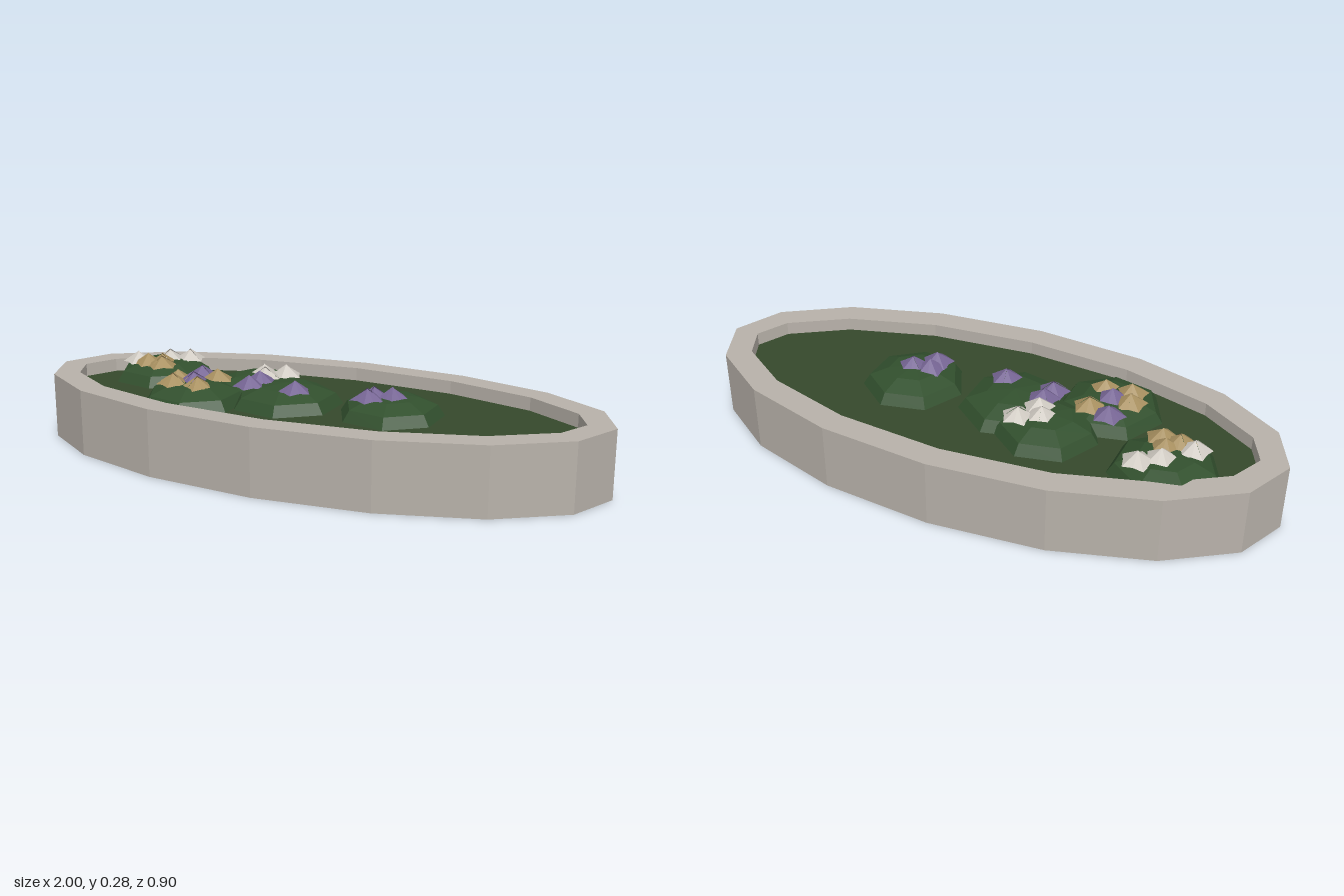
import * as THREE from 'three';

const SIDES = 16, RX = 1, RZ = 0.45, RIM = 0.09, HEIGHT = 0.225, SOIL_Y = 0.18;

function material(name, color, side = THREE.FrontSide) {
  const m = new THREE.MeshStandardMaterial({ color, flatShading: true, side });
  m.name = name;
  return m;
}

// Point on the oval outline, moved inward along its normal
function ovalPoint(i, inset) {
  const a = (i / SIDES) * Math.PI * 2, c = Math.cos(a), s = Math.sin(a);
  const n = new THREE.Vector2(c / RX, s / RZ).normalize();
  return [RX * c - n.x * inset, RZ * s - n.y * inset];
}

// Flat-faced bands joining successive oval loops, each given as [inset, y]
function ovalBands(loops) {
  const pos = [];
  const at = (i, [inset, y]) => {
    const [x, z] = ovalPoint(i, inset);
    return [x, y, z];
  };
  for (let l = 0; l < loops.length - 1; l++) {
    for (let i = 0; i < SIDES; i++) {
      const a = at(i, loops[l]), b = at(i + 1, loops[l]);
      const c = at(i + 1, loops[l + 1]), d = at(i, loops[l + 1]);
      pos.push(...a, ...d, ...c, ...a, ...c, ...b);
    }
  }
  const g = new THREE.BufferGeometry();
  g.setAttribute('position', new THREE.Float32BufferAttribute(pos, 3));
  g.computeVertexNormals();
  return g;
}

// Shallow cone with a five-pointed rim
function blossomGeometry() {
  const g = new THREE.ConeGeometry(1, 1, 10, 1, true).toNonIndexed();
  const p = g.attributes.position;
  for (let i = 0; i < p.count; i++) {
    const x = p.getX(i), z = p.getZ(i);
    const step = Math.round(Math.atan2(x, z) / (Math.PI / 5));
    if (Math.abs(step) % 2 === 1) p.setXYZ(i, x * 0.76, p.getY(i) + 0.1, z * 0.76);
  }
  g.computeVertexNormals();
  return g;
}

export function createModel() {
  const model = new THREE.Group();
  model.name = 'flowerBed';
  const stone = material('stone', 0xb8b2aa, THREE.DoubleSide);
  const grass = material('grass', 0x35492c, THREE.DoubleSide);
  const leaf = material('leaf', 0x32502e);
  const white = material('whitePetal', 0xcfcac2, THREE.DoubleSide);
  const gold = material('goldPetal', 0xa89060, THREE.DoubleSide);
  const purple = material('purplePetal', 0x766594, THREE.DoubleSide);

  const add = (geometry, mat, name) => {
    const mesh = new THREE.Mesh(geometry, mat);
    mesh.name = name;
    model.add(mesh);
    return mesh;
  };

  // Hollow stone border, open underneath
  add(ovalBands([[0, 0], [0, HEIGHT], [RIM, HEIGHT], [RIM, 0]]), stone, 'stoneBorder');

  // Flat planting surface
  const outline = [];
  for (let i = 0; i < SIDES; i++) {
    const [x, z] = ovalPoint(i, RIM);
    outline.push(new THREE.Vector2(x, -z));
  }
  const bed = new THREE.ShapeGeometry(new THREE.Shape(outline)).rotateX(-Math.PI / 2);
  add(bed, grass, 'plantingBed').position.y = SOIL_Y;

  // Low leafy mounds: x, z, radius
  const dome = new THREE.SphereGeometry(1, 7, 3, 0, Math.PI * 2, 0, Math.PI / 2);
  for (const [x, z, r] of [
    [-0.65, -0.12, 0.18], [-0.38, 0.13, 0.18], [-0.24, -0.07, 0.175],
    [-0.09, 0.02, 0.19], [0.28, 0.01, 0.175],
  ]) {
    const mound = add(dome, leaf, 'leafyMound');
    mound.position.set(x, SOIL_Y, z);
    mound.scale.set(r, 0.072, r);
  }

  // Blossoms by colour: x, z
  const petals = blossomGeometry();
  const blossoms = [
    [white, 'whiteBlossom', [[-0.58, -0.18], [-0.64, -0.14], [-0.72, -0.06],
      [-0.155, -0.11], [-0.225, -0.08], [-0.2, -0.04]]],
    [gold, 'goldBlossom', [[-0.635, -0.08], [-0.61, -0.035], [-0.67, -0.045],
      [-0.34, 0.04], [-0.455, 0.11], [-0.44, 0.165], [-0.35, 0.16]]],
    [purple, 'purpleBlossom', [[-0.415, 0.015], [-0.39, 0.115], [-0.19, 0.015], [-0.2, 0.075],
      [-0.03, 0.08], [0.225, 0.075], [0.23, 0.03], [0.29, 0.02]]],
  ];
  for (const [mat, name, spots] of blossoms) {
    spots.forEach(([x, z], i) => {
      const b = add(petals, mat, name);
      b.position.set(x, 0.256 + (i % 3) * 0.002, z);
      b.scale.set(0.058, 0.036, 0.058);
      b.rotation.y = i * 1.3;
    });
  }
  return model;
}
